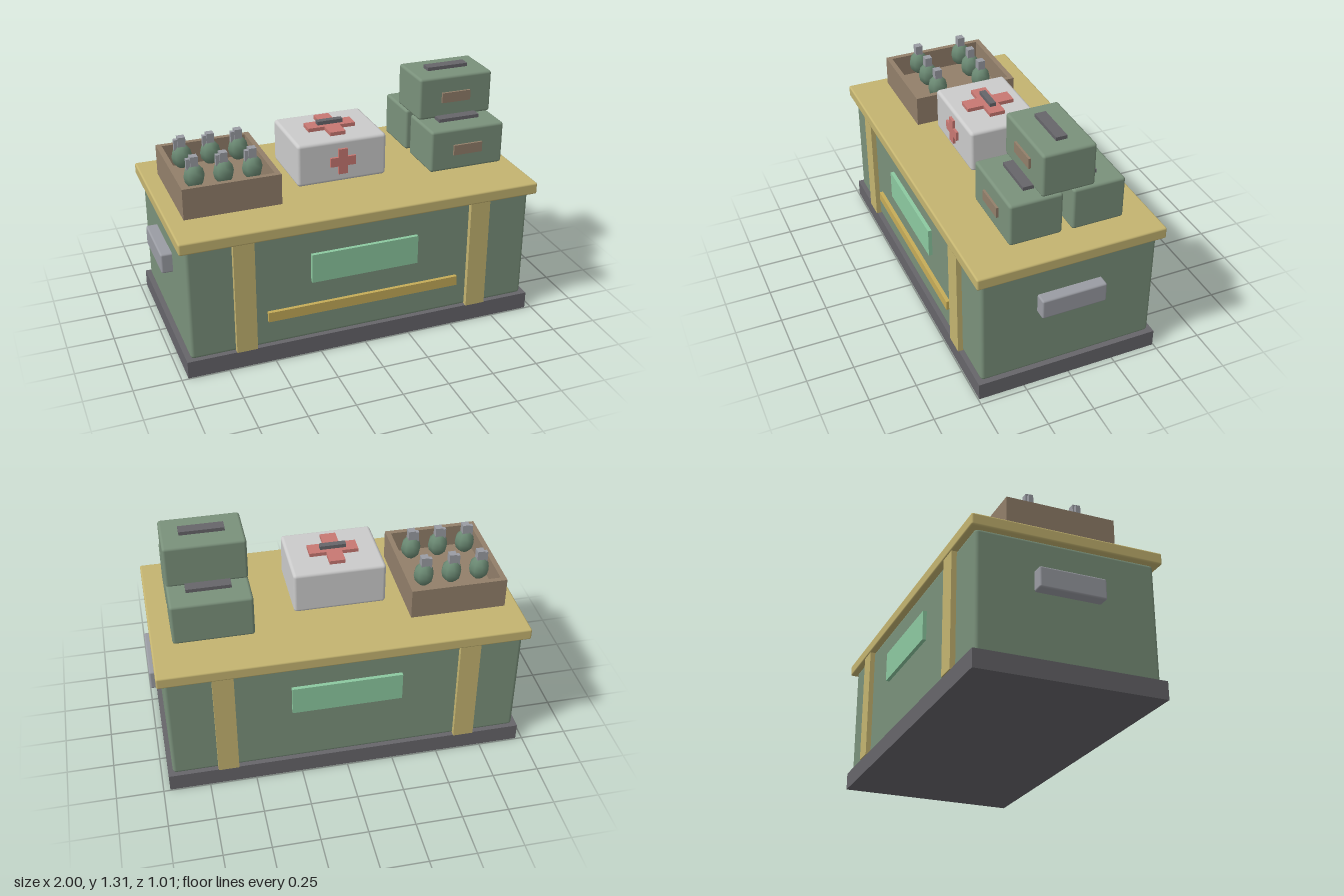
import * as THREE from 'three';
import { RoundedBoxGeometry } from 'three/addons/geometries/RoundedBoxGeometry.js';

const mat = (name, color) => {
  const m = new THREE.MeshStandardMaterial({ color });
  m.name = name;
  return m;
};

export function createModel() {
  const green = mat('crate green', 0x7a917b);
  const tan = mat('tan wood', 0xc4b470);
  const dark = mat('dark grey', 0x66656a);
  const grey = mat('light grey', 0x9a9ca3);
  const mint = mat('mint panel', 0x8cc9a0);
  const gold = mat('gold stripe', 0xc6ac58);
  const brown = mat('brown wood', 0x927f6a);
  const white = mat('case white', 0xcbcbcb);
  const red = mat('cross red', 0xc87872);
  const olive = mat('grenade green', 0x6a8872);

  const group = (name, parent) => {
    const g = new THREE.Group();
    g.name = name;
    if (parent) parent.add(g);
    return g;
  };
  // Box from its lower and upper limits on each axis, optionally rounded
  const box = (parent, name, m, [x0, x1], [y0, y1], [z0, z1], r = 0) => {
    const s = [x1 - x0, y1 - y0, z1 - z0];
    const geo = r ? new RoundedBoxGeometry(...s, 2, r) : new THREE.BoxGeometry(...s);
    const mesh = new THREE.Mesh(geo, m);
    mesh.name = name;
    mesh.position.set((x0 + x1) / 2, (y0 + y1) / 2, (z0 + z1) / 2);
    parent.add(mesh);
    return mesh;
  };

  const model = group('supplyCrate');

  // Large crate
  const crate = group('crate', model);
  box(crate, 'base', dark, [-0.965, 0.965], [0, 0.095], [-0.495, 0.495]);
  box(crate, 'body', green, [-0.94, 0.94], [0.09, 0.72], [-0.473, 0.473], 0.02);
  box(crate, 'lid', tan, [-0.975, 0.975], [0.712, 0.776], [-0.505, 0.505], 0.01);
  for (const s of [-1, 1]) {
    const zs = (a, b) => [Math.min(s * a, s * b), Math.max(s * a, s * b)];
    for (const x of [-0.65, 0.645]) {
      box(crate, 'strap', tan, [x - 0.055, x + 0.055], [0.095, 0.715], zs(0.46, 0.5));
    }
    box(crate, 'panel', mint, [-0.293, 0.293], [0.42, 0.58], zs(0.46, 0.493));
    box(crate, 'sideHandle', grey, zs(0.92, 1), [0.443, 0.553], [-0.175, 0.175], 0.01);
  }
  box(crate, 'frontStripe', gold, [-0.53, 0.53], [0.236, 0.29], [0.46, 0.493]);

  // Open tray
  const tray = group('tray', model);
  const [tx, ty, tz, w] = [[-0.893, -0.38], [0.79, 0.957], [-0.293, 0.29], 0.028];
  box(tray, 'trayFloor', brown, tx, [ty[0], 0.835], tz);
  for (const x of [tx[0], tx[1] - w]) box(tray, 'trayEnd', brown, [x, x + w], ty, tz);
  for (const z of [tz[0], tz[1] - w]) {
    box(tray, 'traySide', brown, [tx[0] + w, tx[1] - w], ty, [z, z + w]);
  }

  // Grenades in the tray
  const bodyGeo = new THREE.SphereGeometry(0.055, 8, 6);
  bodyGeo.scale(1, 1.2, 1);
  for (const z of [-0.133, 0.127]) {
    for (const x of [-0.79, -0.637, -0.485]) {
      const g = group('grenade', model);
      const body = new THREE.Mesh(bodyGeo, olive);
      body.name = 'grenadeBody';
      body.position.set(x, 0.945, z);
      g.add(body);
      box(g, 'grenadeCap', grey, [x - 0.02, x + 0.02], [0.995, 1.055], [z - 0.02, z + 0.02]);
      box(g, 'grenadeLever', grey, [x - 0.04, x - 0.018], [0.955, 1.043], [z - 0.012, z + 0.012]);
    }
  }

  // Medical case
  const medical = group('medicalCase', model);
  const cx = -0.025;
  box(medical, 'caseBody', white, [-0.27, 0.22], [0.828, 1.06], [-0.177, 0.217], 0.018);

  // Cross-shaped plate of given half span and half arm width, facing +z
  const cross = (name, a, b, depth) => {
    const pts = [[-b, -a], [b, -a], [b, -b], [a, -b], [a, b], [b, b],
      [b, a], [-b, a], [-b, b], [-a, b], [-a, -b], [-b, -b]];
    const shape = new THREE.Shape(pts.map(([x, y]) => new THREE.Vector2(x, y)));
    const geo = new THREE.ExtrudeGeometry(shape, { depth, bevelEnabled: false });
    const mesh = new THREE.Mesh(geo, red);
    mesh.name = name;
    medical.add(mesh);
    return mesh;
  };
  cross('frontCross', 0.07, 0.025, 0.025).position.set(cx, 0.945, 0.205);
  const topCross = cross('topCross', 0.13, 0.042, 0.03);
  topCross.rotation.x = -Math.PI / 2;
  topCross.position.set(cx, 1.05, 0.02);
  box(medical, 'caseHandle', dark, [cx - 0.07, cx + 0.07], [1.07, 1.1], [0.003, 0.036]);

  // Stacked ammunition boxes: bottom height and back edge
  for (const [y, z] of [[0.828, 0.015], [0.828, -0.315], [1.063, -0.149]]) {
    const g = group('ammoBox', model);
    const zc = z + 0.139;
    box(g, 'ammoBody', green, [0.445, 0.865], [y, y + 0.231], [z, z + 0.278], 0.015);
    box(g, 'ammoHandle', dark, [0.539, 0.771], [y + 0.22, y + 0.25], [zc - 0.029, zc + 0.029]);
    box(g, 'ammoLabel', brown, [0.573, 0.737], [y + 0.087, y + 0.143], [z + 0.265, z + 0.29]);
  }
  return model;
}
